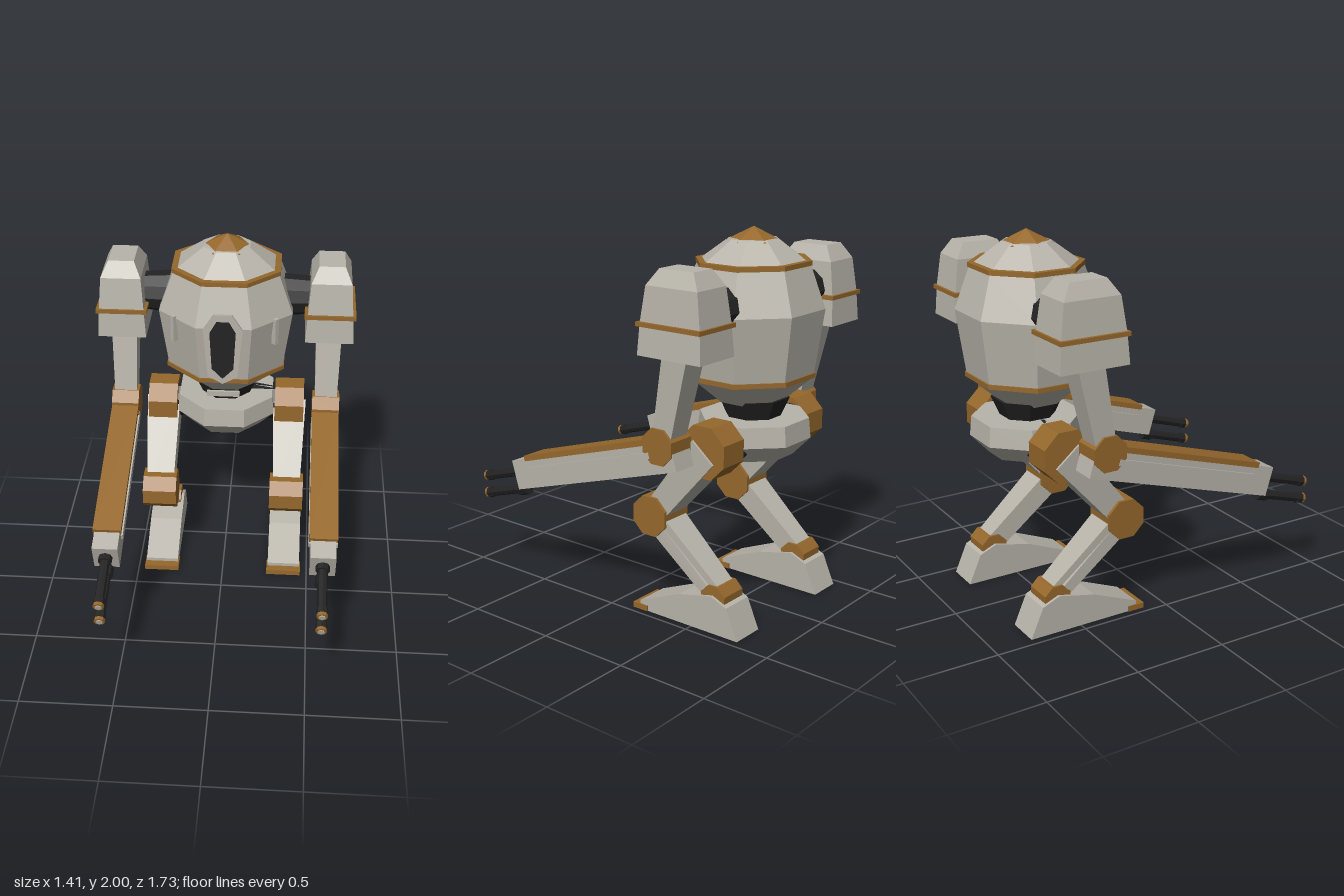
import * as THREE from 'three';

const mat = (name, color) => {
  const m = new THREE.MeshStandardMaterial({ color });
  m.name = name;
  return m;
};

export function createModel() {
  const grey = mat('armour grey', 0xb8b4aa);
  const gold = mat('bronze trim', 0x96682c);
  const black = mat('dark joints', 0x232324);
  const root = new THREE.Group();
  root.name = 'walker';

  // Faceted mesh: every face keeps its own normal
  const add = (parent, name, geo, material, x = 0, y = 0, z = 0) => {
    const g = geo.index ? geo.toNonIndexed() : geo;
    g.computeVertexNormals();
    const m = new THREE.Mesh(g, material);
    m.name = name;
    m.position.set(x, y, z);
    parent.add(m);
    return m;
  };
  const box = (w, h, d) => new THREE.BoxGeometry(w, h, d);

  // Octagonal shell from [apothem, y] pairs, flats facing front and sides
  const K = 1 / Math.cos(Math.PI / 8);
  const octagon = (profile, sx = 1) => new THREE.LatheGeometry(
    profile.map(([r, y]) => new THREE.Vector2(r * K, y)), 8, Math.PI / 8).scale(sx, 1, 1);

  // Octagonal drum lying along x
  const drum = (apothem, width) =>
    new THREE.CylinderGeometry(apothem * K, apothem * K, width, 8, 1, false, Math.PI / 8).rotateZ(Math.PI / 2);

  // Box whose +y end is resized
  const taper = (w0, d0, w1, d1, h) => {
    const g = box(1, h, 1), p = g.attributes.position;
    for (let i = 0; i < p.count; i++) {
      const top = p.getY(i) > 0;
      p.setX(i, p.getX(i) * (top ? w1 : w0));
      p.setZ(i, p.getZ(i) * (top ? d1 : d0));
    }
    return g;
  };

  // Tapered limb between two [y, z] points
  const limb = (parent, name, x, a, b, w0, d0, w1, d1) => {
    const dy = b[0] - a[0], dz = b[1] - a[1];
    const m = add(parent, name, taper(w0, d0, w1, d1, Math.hypot(dy, dz)), grey,
      x, (a[0] + b[0]) / 2, (a[1] + b[1]) / 2);
    m.rotation.x = Math.atan2(dz, dy);
    return m;
  };

  // Torso
  const BZ = -0.53, SX = 1.085;
  const torso = new THREE.Group();
  torso.name = 'torso';
  root.add(torso);
  add(torso, 'hull', octagon([[0, 1.12], [0.155, 1.12], [0.29, 1.25], [0.335, 1.6],
    [0.262, 1.82], [0.115, 1.94], [0, 1.95]], SX), grey, 0, 0, BZ);
  add(torso, 'lowerBand', octagon([[0, 1.248], [0.3, 1.248], [0.3, 1.272], [0, 1.272]], SX), gold, 0, 0, BZ);
  add(torso, 'upperBand', octagon([[0, 1.814], [0.27, 1.814], [0.27, 1.838], [0, 1.838]], SX), gold, 0, 0, BZ);
  add(torso, 'topCap', new THREE.ConeGeometry(0.14, 0.07, 6, 1, false, Math.PI / 6), gold, 0, 1.965, BZ);

  // Front window standing off the hull
  const plate = (pts, depth) => {
    const left = pts.filter(([x]) => x > 0).map(([x, y]) => [-x, y]).reverse();
    const s = new THREE.Shape([...pts, ...left].map(([x, y]) => new THREE.Vector2(x, y)));
    return new THREE.ExtrudeGeometry(s, { depth, bevelEnabled: false });
  };
  add(torso, 'windowFrame', plate([[0, 1.295], [0.08, 1.34], [0.105, 1.62], [0.048, 1.71]], 0.014),
    grey, 0, 0, -0.157);
  add(torso, 'windowPane', plate([[0, 1.335], [0.058, 1.395], [0.069, 1.605], [0.033, 1.67]], 0.013),
    black, 0, 0, -0.143);
  add(torso, 'chinPlate', box(0.18, 0.03, 0.016), grey, 0, 1.2, -0.202);
  for (const s of [-1, 1]) {
    const slit = add(torso, 'sidePlate', box(0.025, 0.15, 0.03), grey, s * 0.273, 1.54, -0.305);
    slit.rotation.y = s * Math.PI / 4;
  }

  // Waist and pelvis
  add(root, 'neck', octagon([[0, 1.03], [0.13, 1.03], [0.175, 1.14], [0, 1.14]]), black, 0, 0, -0.545);
  add(root, 'pelvis', octagon([[0, 0.84], [0.19, 0.84], [0.275, 0.935], [0.265, 1.04], [0, 1.04]]),
    grey, 0, 0, -0.55);

  for (const s of [-1, 1]) {
    const side = s > 0 ? 'left' : 'right';

    // Leg
    const leg = new THREE.Group();
    leg.name = side + 'Leg';
    root.add(leg);
    const lx = s * 0.362;
    const hip = [0.94, -0.565], knee = [0.533, -0.225], ankle = [0.19, -0.625];
    add(leg, 'hipAxle', drum(0.1, 0.2), black, s * 0.24, 0.94, -0.57);
    add(leg, 'hipJoint', drum(0.133, 0.165), gold, lx, 0.938, -0.555);
    limb(leg, 'thigh', lx, knee, hip, 0.15, 0.125, 0.19, 0.165);
    add(leg, 'kneeJoint', drum(0.104, 0.19), gold, lx, ...knee);
    limb(leg, 'shin', lx, ankle, knee, 0.125, 0.11, 0.17, 0.125);
    limb(leg, 'shinRail', lx + s * 0.072, [0.23, -0.58], [0.46, -0.31], 0.02, 0.035, 0.02, 0.035);
    add(leg, 'ankleJoint', drum(0.073, 0.155), gold, lx, 0.175, -0.625);

    // Foot: side profile swept across x
    const profile = [[-0.165, 0], [-0.165, 0.05], [-0.42, 0.155], [-0.625, 0.2], [-0.72, 0.16], [-0.79, 0]];
    const foot = new THREE.ExtrudeGeometry(
      new THREE.Shape(profile.map(([z, y]) => new THREE.Vector2(-z, y))),
      { depth: 0.187, bevelEnabled: false }).translate(0, 0, -0.0935).rotateY(Math.PI / 2);
    add(leg, 'foot', foot, grey, lx, 0, 0);
    add(leg, 'toe', box(0.2, 0.03, 0.095), gold, lx, 0.015, -0.167);

    // Shoulder
    const arm = new THREE.Group();
    arm.name = side + 'Arm';
    root.add(arm);
    const ax = s * 0.567;
    const axle = new THREE.CylinderGeometry(0.105, 0.125, 0.26, 10).rotateZ(-s * Math.PI / 2);
    add(arm, 'shoulderAxle', axle, black, s * 0.34, 1.63, -0.57);
    const tier = (name, y0, y1, w0, d0, w1, d1) =>
      add(arm, name, taper(w0, d0, w1, d1, y1 - y0), grey, ax, (y0 + y1) / 2, -0.547);
    tier('shoulderSkirt', 1.445, 1.6, 0.264, 0.375, 0.245, 0.355);
    tier('shoulderPod', 1.6, 1.78, 0.245, 0.355, 0.218, 0.305);
    tier('shoulderTop', 1.78, 1.86, 0.218, 0.305, 0.14, 0.2);
    add(arm, 'shoulderBand', box(0.278, 0.022, 0.38), gold, ax, 1.597, -0.547);

    // Upper arm and elbow
    limb(arm, 'upperArm', ax, [0.99, -0.44], [1.5, -0.545], 0.12, 0.11, 0.145, 0.15);
    add(arm, 'elbowJoint', drum(0.09, 0.152), gold, ax, 0.99, -0.432);

    // Forearm, built level and then tilted down
    const fore = new THREE.Group();
    fore.name = side + 'Forearm';
    fore.position.set(ax, 0.798, 0.019);
    fore.rotation.x = 0.293;
    arm.add(fore);
    add(fore, 'forearmBody', box(0.135, 0.16, 1.135), grey);
    add(fore, 'forearmCover', box(0.15, 0.03, 0.87), gold, 0, 0.084, 0.025);
    for (const e of [-1, 1])
      add(fore, 'forearmRail', box(0.016, 0.032, 0.87), grey, e * 0.07, 0.018, 0.01);

    // Twin barrels
    [[0.008, 0.875], [-0.088, 0.902]].forEach(([v, tip]) => {
      const tube = (name, r, from, to, m) => add(fore, name,
        new THREE.CylinderGeometry(r, r, to - from, 8).rotateX(Math.PI / 2), m, 0, v, (from + to) / 2);
      tube('barrelCollar', 0.037, tip - 0.34, tip - 0.275, black);
      tube('barrel', 0.026, tip - 0.3, tip - 0.01, black);
      tube('barrelSleeve', 0.031, tip - 0.05, tip - 0.018, black);
      tube('muzzleRing', 0.029, tip - 0.018, tip, gold);
      tube('muzzleFace', 0.018, tip, tip + 0.004, grey);
    });
  }
  return root;
}
